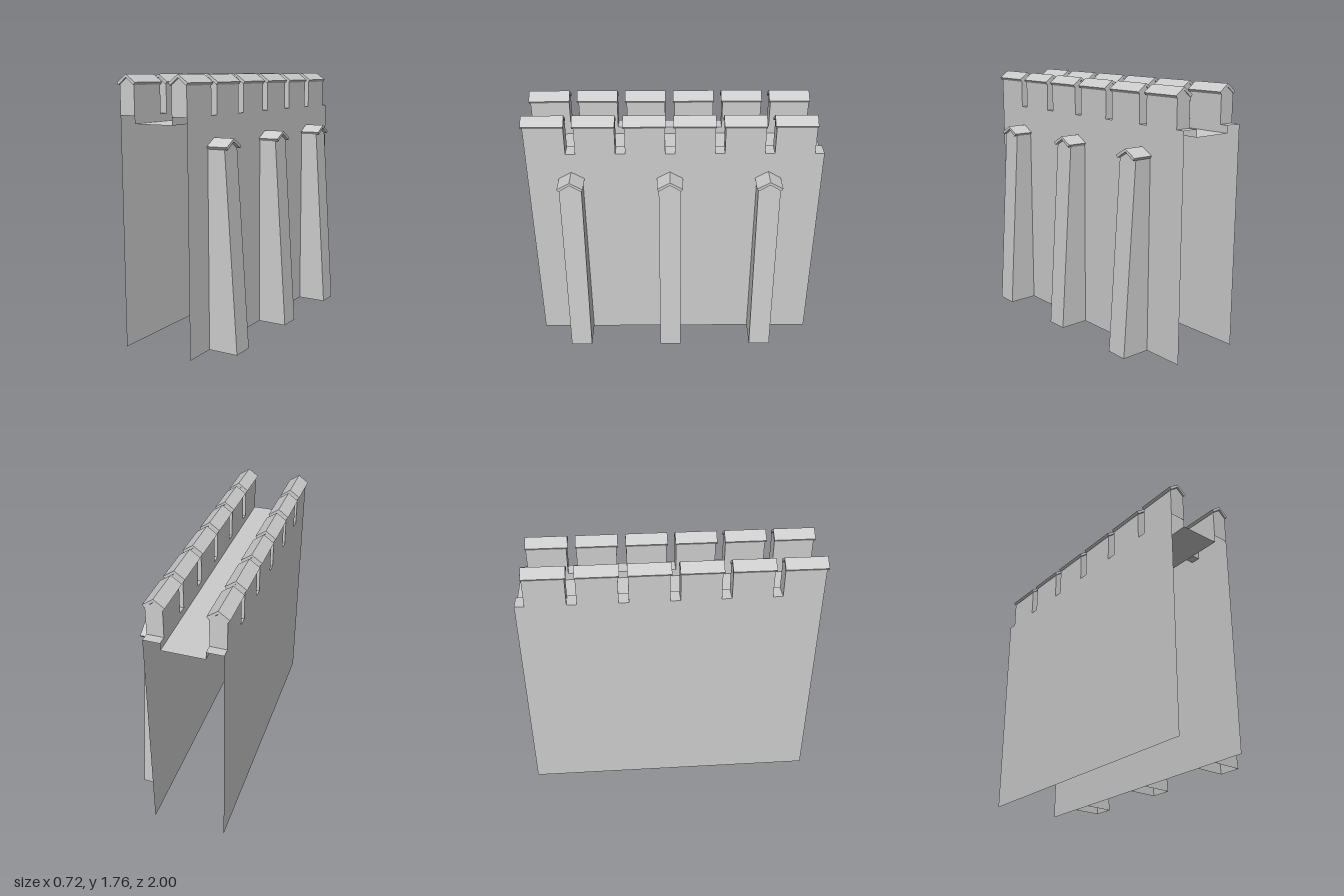
import * as THREE from 'three';

const WALL_TOP = 1.51, FLOOR_Y = 1.46, FRONT = 0.99, BACK = -1;
const THICK = 0.11; // parapet thickness
const COUNT = 6, PITCH = 0.332, MERLON = 0.267;
const material = new THREE.MeshStandardMaterial({ color: 0xcccccc, flatShading: true, side: THREE.DoubleSide });

// Open shell made of flat convex polygons, each a list of [x, y, z] corners
function shell(name, polygons) {
  const positions = [];
  for (const p of polygons)
    for (let i = 1; i < p.length - 1; i++) positions.push(...p[0], ...p[i], ...p[i + 1]);
  const geometry = new THREE.BufferGeometry();
  geometry.setAttribute('position', new THREE.Float32BufferAttribute(positions, 3));
  geometry.computeVertexNormals();
  const mesh = new THREE.Mesh(geometry, material);
  mesh.name = name;
  return mesh;
}

// Thin folded coping: chevron centred on its own ridge, running along +z from 0
function coping(name, half, drop, length, under) {
  const shape = new THREE.Shape([
    [0, 0], [-half, -drop], [-half + 0.012, -drop - 0.017],
    [0, -under], [half - 0.012, -drop - 0.017], [half, -drop],
  ].map(([x, y]) => new THREE.Vector2(x, y)));
  const mesh = new THREE.Mesh(new THREE.ExtrudeGeometry(shape, { depth: length, bevelEnabled: false }), material);
  mesh.name = name;
  return mesh;
}

// Level strip between two x and two z values, facing up
const level = (x0, x1, y, z0, z1) => [[x0, y, z0], [x0, y, z1], [x1, y, z1], [x1, y, z0]];
// Upright strip along z, facing +x
const upright = (x, y0, y1, z0, z1) => [[x, y0, z1], [x, y0, z0], [x, y1, z0], [x, y1, z1]];

// One wall sheet with its parapet; outer is the wall face, side its outward direction
function wall(name, outer, side) {
  const group = new THREE.Group();
  group.name = name;
  const inner = outer - side * THICK;
  const x0 = Math.min(outer, inner), x1 = Math.max(outer, inner), mid = (x0 + x1) / 2;
  const flip = (p, away) => (away > 0 ? p : p.reverse());

  group.add(shell('wallFace', [flip(upright(outer, 0, WALL_TOP, BACK, FRONT), side)]));
  group.add(shell('parapetCurb', [flip(upright(inner, FLOOR_Y, WALL_TOP, BACK, FRONT), -side)]));

  for (let i = 0; i < COUNT; i++) {
    const z1 = FRONT - PITCH * i, z0 = z1 - MERLON;
    const next = i < COUNT - 1 ? z1 - PITCH : BACK;
    const eave = 1.7, peak = 1.742;
    const end = (z) => [[x0, WALL_TOP, z], [x1, WALL_TOP, z], [x1, eave, z], [mid, peak, z], [x0, eave, z]];
    group.add(shell('merlon', [
      end(z1), end(z0).reverse(),
      upright(x1, WALL_TOP, eave, z0, z1), upright(x0, WALL_TOP, eave, z0, z1).reverse(),
    ]));
    group.add(shell('crenelSill', [level(x0, x1, WALL_TOP, next, z0)]));
    const cap = coping('merlonCoping', 0.07, 0.05, 0.28, 0.02);
    cap.position.set(mid, 1.765, z1 + 0.01 - 0.28);
    group.add(cap);
  }
  return group;
}

// Buttress with a sloping outer face and a small gabled cap
function buttress(z) {
  const group = new THREE.Group();
  group.name = 'buttress';
  const x = 0.15, half = 0.075, eave = 1.305, peak = 1.347;
  const outer = (y) => 0.357 - (y / 1.305) * 0.085;
  const side = (s) => [[x, 0, s * half], [outer(0), 0, s * half], [outer(eave), eave, s * half], [x, eave, s * half]];
  group.add(shell('buttressBody', [
    side(1), side(-1).reverse(),
    [[outer(0), 0, half], [outer(0), 0, -half], [outer(eave), eave, -half],
      [outer(peak), peak, 0], [outer(eave), eave, half]],
  ]));
  const cap = coping('buttressCoping', 0.087, 0.05, 0.145, 0.02);
  cap.rotation.y = Math.PI / 2;
  cap.position.set(x, 1.372, 0);
  group.add(cap);
  group.position.z = z;
  return group;
}

export function createModel() {
  const model = new THREE.Group();
  model.name = 'castleWall';
  model.add(wall('buttressedWall', 0.15, 1), wall('plainWall', -0.35, -1));
  model.add(shell('walkway', [level(-0.35 + THICK, 0.15 - THICK, FLOOR_Y, BACK, FRONT)]));
  for (const z of [0.693, 0.029, -0.635]) model.add(buttress(z));
  return model;
}
